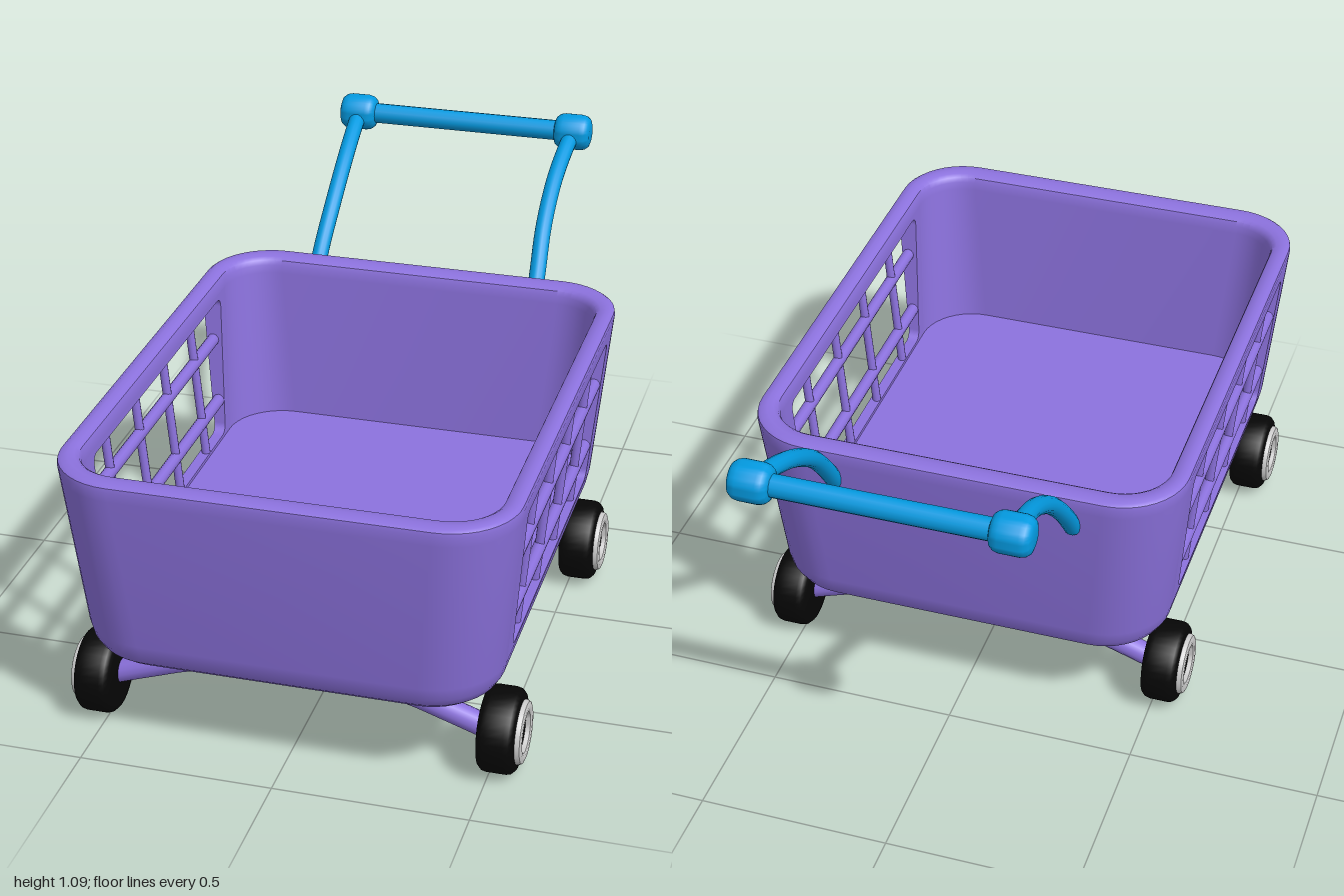
import * as THREE from 'three';
import { toCreasedNormals } from 'three/addons/utils/BufferGeometryUtils.js';

const mat = (color) => new THREE.MeshStandardMaterial({ color });
const purple = mat(0x8c72de), blue = mat(0x039be2), black = mat(0x060606), grey = mat(0xcccccc);
const V = (x, y, z) => new THREE.Vector3(x, y, z);

function add(parent, name, geometry, material) {
  const mesh = new THREE.Mesh(geometry, material);
  mesh.name = name;
  parent.add(mesh);
  return mesh;
}

// Round bar between two points
function bar(parent, name, a, b, radius, material) {
  const mesh = add(parent, name, new THREE.CylinderGeometry(radius, radius, a.distanceTo(b), 12), material);
  mesh.position.copy(a).add(b).multiplyScalar(0.5);
  mesh.quaternion.setFromUnitVectors(V(0, 1, 0), b.clone().sub(a).normalize());
}

function tube(parent, name, points, radius, material) {
  add(parent, name, new THREE.TubeGeometry(new THREE.CatmullRomCurve3(points), 32, radius, 14), material);
}

// Turned part whose axis lies along x; points are [radius, x] with x increasing
function turned(parent, name, points, material) {
  const lathe = new THREE.LatheGeometry(points.map(([r, x]) => new THREE.Vector2(r, x)), 36);
  return add(parent, name, toCreasedNormals(lathe.rotateZ(-Math.PI / 2), 0.7), material);
}

// Basket: a rounded rectangle whose straight core widens with height
const TOP = 0.783, CORE_Z = 0.555, PANEL_LOW = 0.318, PANEL_HIGH = 0.74;
const flareZ = (y) => 0.103 * (y - TOP);
const coreX = (y) => 0.398 + 0.095 * (y - TOP);
// Corner radius outside and inside; the inner wall is steeper, and nearer at front and back
const WALL_OUT = 0.18, WALL_IN_LOW = 0.15, WALL_IN_HIGH = 0.128, INSET_Z = 0.015;

function basketShell() {
  // [height, corner radius, scale, z inset], from under the floor, over the rim, to the inner floor
  const profile = [
    [0.226, 0.085, 0, 0], [0.226, 0.085, 1, 0], [0.23, 0.115, 1, 0], [0.241, 0.142, 1, 0],
    [0.26, 0.164, 1, 0], [0.284, 0.176, 1, 0], [PANEL_LOW, WALL_OUT, 1, 0], [PANEL_HIGH, WALL_OUT, 1, 0],
    [0.767, 0.18, 1, 0], [0.777, 0.177, 1, 0], [0.783, 0.168, 1, 0], [0.784, 0.155, 1, 0.008],
    [0.782, 0.141, 1, INSET_Z], [0.775, 0.131, 1, INSET_Z], [0.762, 0.127, 1, INSET_Z],
    [PANEL_HIGH, WALL_IN_HIGH, 1, INSET_Z], [PANEL_LOW, WALL_IN_LOW, 1, INSET_Z],
    [PANEL_LOW, WALL_IN_LOW, 0, INSET_Z],
  ];
  const steps = 10, count = 4 * (steps + 1), positions = [], index = [];
  for (const [y, r, scale, inset] of profile) {
    for (let c = 0; c < 4; c++) {
      const cx = (c === 0 || c === 3 ? 1 : -1) * coreX(y);
      const cz = (c < 2 ? 1 : -1) * (CORE_Z + flareZ(y) - inset);
      for (let j = 0; j <= steps; j++) {
        const t = (c + j / steps) * Math.PI / 2;
        positions.push(scale * (cx + r * Math.cos(t)), y, scale * (cz + r * Math.sin(t)));
      }
    }
  }
  for (let i = 0; i < profile.length - 1; i++) {
    const heights = [profile[i][0], profile[i + 1][0]];
    const panelRow = heights.includes(PANEL_LOW) && heights.includes(PANEL_HIGH);
    for (let j = 0; j < count; j++) {
      // Leave the flat sides open for the window panels
      if (panelRow && (j === 2 * (steps + 1) - 1 || j === count - 1)) continue;
      const a = i * count + j, b = i * count + (j + 1) % count, c = a + count, d = b + count;
      if (profile[i][2]) index.push(a, c, b);
      if (profile[i + 1][2]) index.push(b, c, d);
    }
  }
  const g = new THREE.BufferGeometry();
  g.setAttribute('position', new THREE.Float32BufferAttribute(positions, 3));
  g.setIndex(index);
  return toCreasedNormals(g, 0.6);
}

// Flat side wall with a rounded window, leaned to follow the flare
const WIN_HALF = 0.498, WIN_LOW = 0.327, WIN_HIGH = 0.724;
function sidePanel() {
  const shape = new THREE.Shape([
    [-CORE_Z, PANEL_LOW], [CORE_Z, PANEL_LOW], [CORE_Z, PANEL_HIGH], [-CORE_Z, PANEL_HIGH],
  ].map(([x, y]) => new THREE.Vector2(x, y)));
  const hole = new THREE.Path(), r = 0.025, w = WIN_HALF - r;
  hole.absarc(w, WIN_HIGH - r, r, 0, Math.PI / 2);
  hole.absarc(-w, WIN_HIGH - r, r, Math.PI / 2, Math.PI);
  hole.absarc(-w, WIN_LOW + r, r, Math.PI, Math.PI * 1.5);
  hole.absarc(w, WIN_LOW + r, r, Math.PI * 1.5, Math.PI * 2);
  shape.holes.push(hole);
  const g = new THREE.ExtrudeGeometry(shape, { depth: 1, bevelEnabled: false, curveSegments: 6 });
  const p = g.attributes.position;
  for (let i = 0; i < p.count; i++) {
    const u = p.getX(i), y = p.getY(i), d = p.getZ(i);
    const inner = THREE.MathUtils.mapLinear(y, PANEL_LOW, PANEL_HIGH, WALL_IN_LOW, WALL_IN_HIGH);
    const inset = Math.abs(u) > WIN_HALF + 0.01 ? (1 - d) * INSET_Z : 0;
    p.setXYZ(i, coreX(y) + THREE.MathUtils.lerp(inner, WALL_OUT, d), y, -(u + Math.sign(u) * (flareZ(y) - inset)));
  }
  g.computeVertexNormals();
  return g;
}

function createBasket() {
  const basket = new THREE.Group();
  basket.name = 'basket';
  basket.position.z = 0.264;
  add(basket, 'basketShell', basketShell(), purple);
  const panel = sidePanel();
  const barX = (y) => coreX(y) + 0.162;
  for (const [side, s] of [['left', 1], ['right', -1]]) {
    const wall = new THREE.Group();
    wall.name = side + 'Side';
    wall.rotation.y = s > 0 ? 0 : Math.PI;
    basket.add(wall);
    add(wall, side + 'WindowPanel', panel, purple);
    // Grid of bars across the window
    for (const z of [0.333, 0.115, -0.1, -0.318]) {
      bar(wall, 'uprightBar', V(barX(0.315), 0.315, s * z), V(barX(0.735), 0.735, s * z), 0.012, purple);
    }
    for (const y of [0.42, 0.598]) {
      const half = WIN_HALF + flareZ(y) + 0.015;
      bar(wall, 'crossBar', V(barX(y), y, -half), V(barX(y), y, half), 0.017, purple);
    }
  }
  return basket;
}

function createWheel(side) {
  const wheel = new THREE.Group();
  wheel.name = 'wheel';
  turned(wheel, 'tyre', [
    [0, -0.048], [0.085, -0.048], [0.098, -0.045], [0.107, -0.036], [0.11, -0.024],
    [0.11, 0.024], [0.107, 0.036], [0.098, 0.045], [0.085, 0.048], [0, 0.048],
  ], black);
  turned(wheel, 'hubRing', [
    [0.082, 0.04], [0.082, 0.052], [0.078, 0.06], [0.07, 0.063], [0.058, 0.063], [0.052, 0.06], [0.05, 0.04],
  ], grey);
  wheel.rotation.y = side > 0 ? 0 : Math.PI;
  return wheel;
}

export function createModel() {
  const model = new THREE.Group();
  model.name = 'shoppingCart';
  model.add(createBasket());

  // Arched axles with a wheel at each end
  for (const [name, z] of [['frontAxle', 0.757], ['rearAxle', -0.229]]) {
    const axle = new THREE.Group();
    axle.name = name;
    axle.position.z = z;
    model.add(axle);
    const arch = [[-0.5, 0.105], [-0.39, 0.143], [-0.28, 0.178], [-0.15, 0.195], [0, 0.199],
      [0.15, 0.195], [0.28, 0.178], [0.39, 0.143], [0.5, 0.105]];
    tube(axle, 'axleArch', arch.map(([x, y]) => V(x, y, 0)), 0.03, purple);
    for (const side of [-1, 1]) {
      const wheel = createWheel(side);
      wheel.position.set(side * 0.523, 0.11, 0);
      axle.add(wheel);
    }
  }

  // Push handle: two curved arms, a cross bar and rounded end grips
  const handle = new THREE.Group();
  handle.name = 'handle';
  model.add(handle);
  for (const s of [-1, 1]) {
    tube(handle, 'handleArm', [
      V(s * 0.318, 0.68, -0.449), V(s * 0.315, 0.775, -0.525), V(s * 0.309, 0.87, -0.618),
      V(s * 0.309, 0.955, -0.74), V(s * 0.314, 1.005, -0.85), V(s * 0.32, 1.035, -0.948),
    ], 0.023, blue);
    const grip = turned(handle, 'handleGrip', [
      [0, -0.052], [0.028, -0.052], [0.04, -0.048], [0.048, -0.038], [0.051, -0.025],
      [0.051, 0.025], [0.048, 0.038], [0.04, 0.048], [0.028, 0.052], [0, 0.052],
    ], blue);
    grip.position.set(s * 0.32, 1.036, -0.949);
  }
  bar(handle, 'handleBar', V(-0.32, 1.036, -0.949), V(0.32, 1.036, -0.949), 0.029, blue);
  return model;
}
